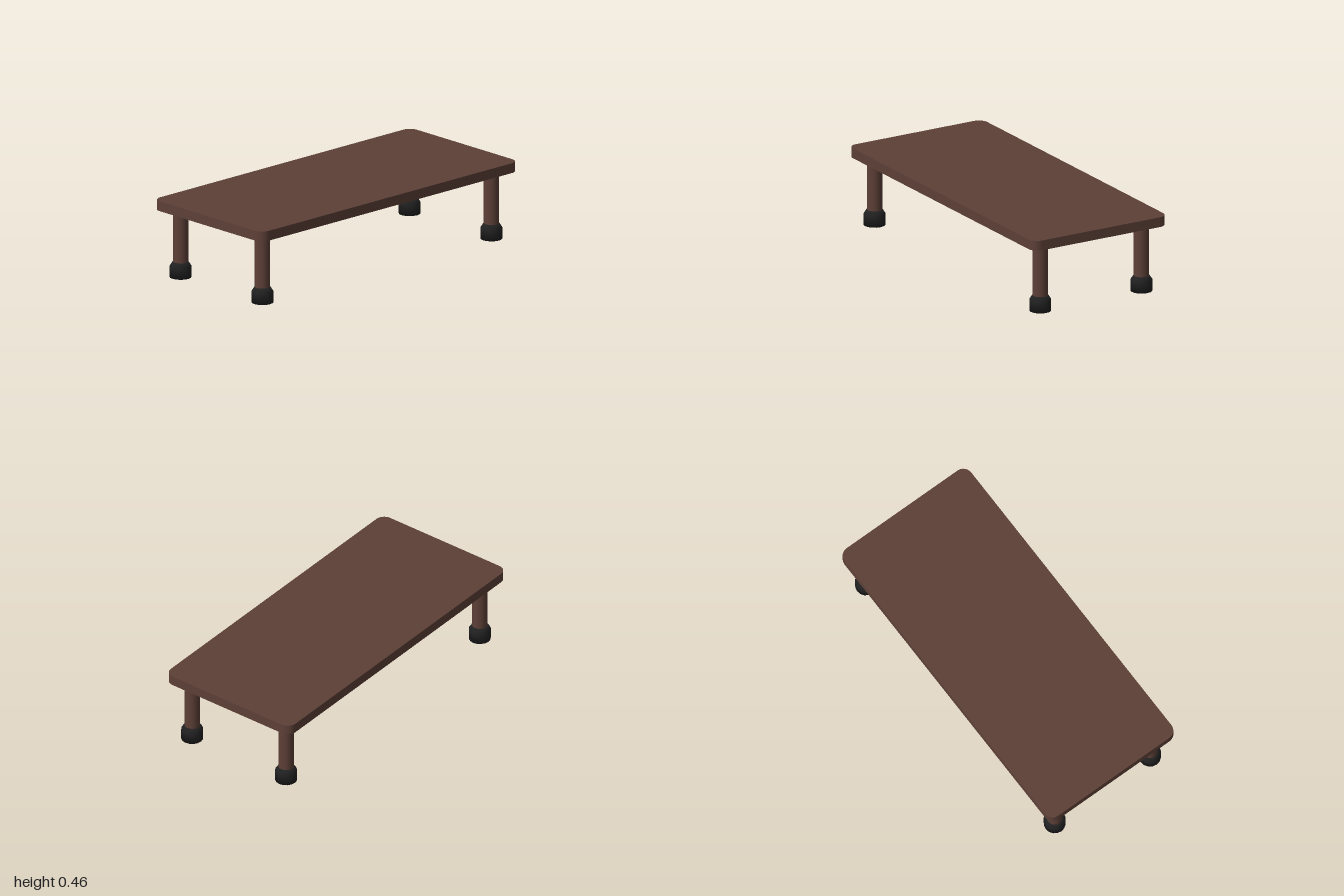
import * as THREE from 'three';

const W = 1, D = 0.445, R = 0.055;           // tabletop half width, half depth, corner radius
const TOP_Y = 0.397, TOP_H = 0.058;
const LEG_X = 0.89, LEG_Z = 0.335;

// Rounded rectangle outline, centred on the origin
function roundedRect(w, d, r) {
  const s = new THREE.Shape();
  s.moveTo(-w + r, -d);
  s.lineTo(w - r, -d);
  s.absarc(w - r, -d + r, r, -Math.PI / 2, 0);
  s.absarc(w - r, d - r, r, 0, Math.PI / 2);
  s.absarc(-w + r, d - r, r, Math.PI / 2, Math.PI);
  s.absarc(-w + r, -d + r, r, Math.PI, Math.PI * 1.5);
  return s;
}

export function createModel() {
  const wood = new THREE.MeshStandardMaterial({ color: 0x5d4037 });
  wood.name = 'dark brown wood';
  const rubber = new THREE.MeshStandardMaterial({ color: 0x212121 });
  rubber.name = 'black rubber';

  const model = new THREE.Group();
  model.name = 'lowTable';
  const add = (parent, name, geometry, material) => {
    const mesh = new THREE.Mesh(geometry, material);
    mesh.name = name;
    parent.add(mesh);
    return mesh;
  };

  // Tabletop slab with rounded corners
  const slab = new THREE.ExtrudeGeometry(roundedRect(W, D, R), {
    depth: TOP_H, bevelEnabled: false, curveSegments: 4,
  });
  slab.rotateX(-Math.PI / 2);
  add(model, 'tabletop', slab, wood).position.y = TOP_Y;

  // Round legs with flared feet, one at each corner
  const legBottom = 0.08;
  const legGeo = new THREE.CylinderGeometry(0.044, 0.044, TOP_Y - legBottom, 24);
  legGeo.translate(0, (TOP_Y + legBottom) / 2, 0);
  const footProfile = [[0, 0], [0.0625, 0], [0.0625, 0.064], [0.045, 0.091], [0, 0.091]]
    .map(([x, y]) => new THREE.Vector2(x, y));
  const footGeo = new THREE.LatheGeometry(footProfile, 16);

  for (const [sx, side] of [[1, 'Left'], [-1, 'Right']]) {
    for (const [sz, end] of [[1, 'front'], [-1, 'back']]) {
      const corner = new THREE.Group();
      corner.name = `${end}${side}Support`;
      add(corner, 'leg', legGeo, wood);
      add(corner, 'foot', footGeo, rubber);
      corner.position.set(sx * LEG_X, 0, sz * LEG_Z);
      model.add(corner);
    }
  }
  return model;
}
